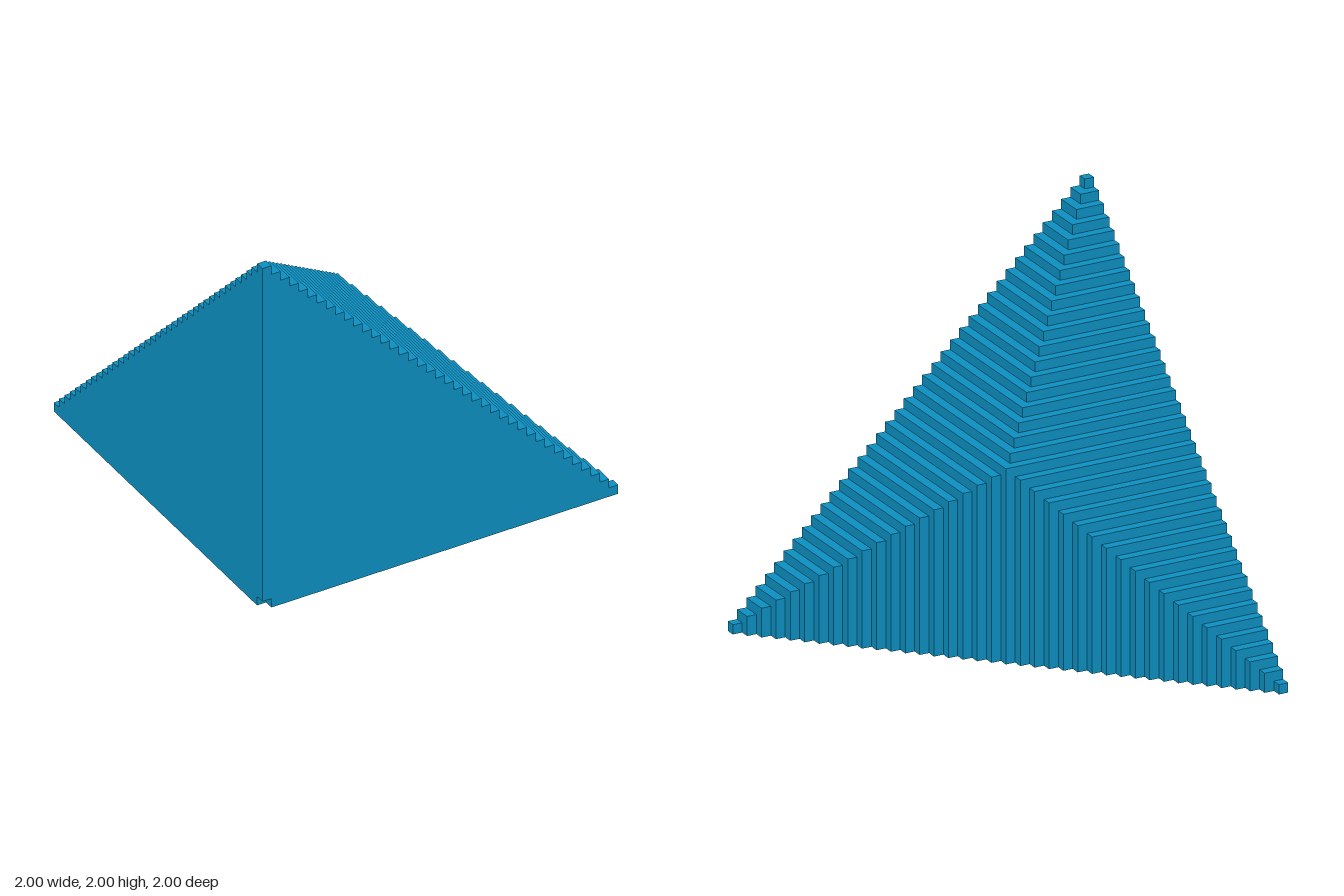
import * as THREE from 'three';

const N = 39;        // steps along each edge
const S = 2 / N;     // size of one step

// Staircase outline of one slab, in step units from the shared corner
function slabShape(k) {
  const side = N - k;                       // slab is at most this wide and tall
  const pts = k === 0
    ? [[1, 0], [1, 1], [0, 1]]              // the corner block is left out
    : [[0, 0]];
  const height = (i) => Math.min(side, N - i);
  let h = height(0);
  pts.push([0, h]);
  for (let i = 1; i < side; i++) {
    if (height(i) !== h) {
      pts.push([i, h], [i, height(i)]);
      h = height(i);
    }
  }
  pts.push([side, h], [side, 0]);
  return new THREE.Shape(pts.map(([a, b]) => new THREE.Vector2(a * S - 1, b * S)));
}

export function createModel() {
  const model = new THREE.Group();
  model.name = 'steppedPyramid';
  const blue = new THREE.MeshStandardMaterial({ color: 0x0d8fc1 });
  blue.name = 'blue';

  // Slabs stacked from the flat front face towards the back tip
  for (let k = 0; k < N; k++) {
    const geometry = new THREE.ExtrudeGeometry(slabShape(k), { depth: S, bevelEnabled: false });
    const slab = new THREE.Mesh(geometry, blue);
    slab.name = `slab${k + 1}`;
    slab.position.z = 1 - (k + 1) * S;
    model.add(slab);
  }
  return model;
}
